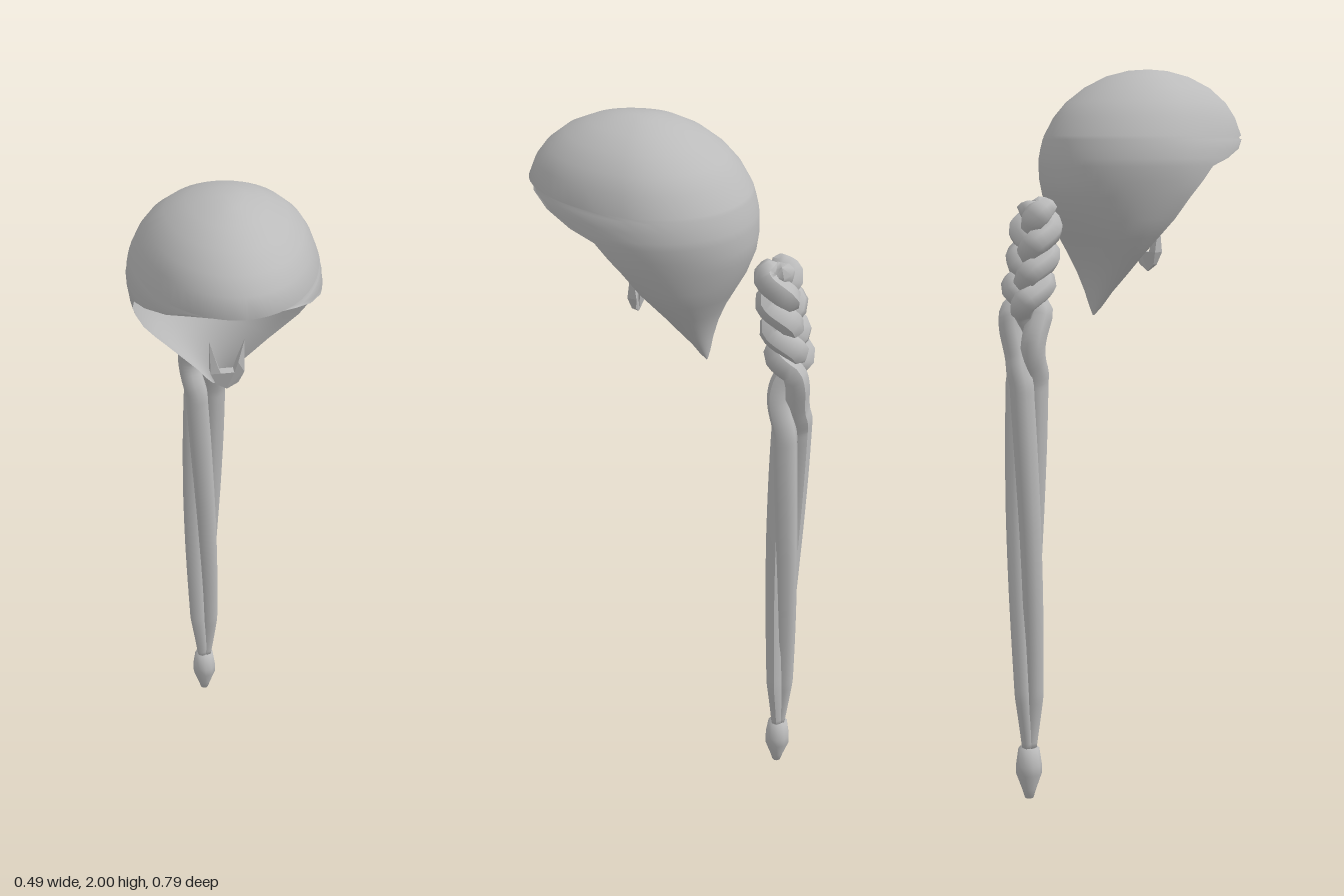
import * as THREE from 'three';
import { mergeVertices } from 'three/addons/utils/BufferGeometryUtils.js';

const { lerp, clamp } = THREE.MathUtils;

// Piecewise-linear lookup in a list of [key, value] with falling keys
function sample(table, y) {
  for (let i = 0; i < table.length - 1; i++) {
    const [y0, a] = table[i], [y1, b] = table[i + 1];
    if (y >= y1) return lerp(a, b, clamp((y0 - y) / (y0 - y1), 0, 1));
  }
  return table[table.length - 1][1];
}

// Open shell of horizontal slices: y, back z, middle z, front z, half width, reach (1 = closed round the front)
const capRows = [
  [2.0, 0.1, 0.1, 0.1, 0, 1],
  [1.996, 0.04, 0.085, 0.16, 0.045, 1],
  [1.98, -0.025, 0.08, 0.225, 0.1, 1],
  [1.95, -0.085, 0.07, 0.29, 0.152, 1],
  [1.91, -0.14, 0.06, 0.34, 0.193, 1],
  [1.87, -0.177, 0.05, 0.37, 0.217, 1],
  [1.82, -0.206, 0.04, 0.39, 0.236, 1],
  [1.81, -0.21, 0.04, 0.39, 0.239, 0.82],
  [1.785, -0.217, 0.04, 0.385, 0.244, 0.74],
  [1.76, -0.223, 0.04, 0.38, 0.247, 0.65],
  [1.74, -0.225, 0.04, 0.37, 0.246, 0.58],
  [1.7, -0.226, 0.045, 0.36, 0.24, 0.54],
  [1.66, -0.221, 0.05, 0.35, 0.229, 0.5],
  [1.6, -0.199, 0.015, 0.3, 0.204, 0.5],
  [1.55, -0.172, -0.015, 0.2, 0.172, 0.5],
  [1.5, -0.145, -0.038, 0.1, 0.133, 0.5],
  [1.45, -0.125, -0.055, 0, 0.092, 0.5],
  [1.4, -0.112, -0.075, 0, 0.052, 0.5],
  [1.36, -0.106, -0.088, 0, 0.024, 0.5],
  [1.335, -0.1, -0.099, 0, 0.004, 0.5],
];

function capGeometry() {
  const n = 56, pos = [], idx = [];
  capRows.forEach(([y, zb, zc, zf, w, reach], r) => {
    for (let u = 0; u <= n; u++) {
      const a = (u / n * 2 - 1) * reach * Math.PI;
      const c = Math.cos(a);
      pos.push(w * Math.sin(a), y, zc - c * (c > 0 ? zc - zb : zf - zc));
      if (r && u < n) {
        const d = r * (n + 1) + u, t = d - n - 1;
        idx.push(t, t + 1, d, t + 1, d + 1, d);
      }
    }
  });
  let g = new THREE.BufferGeometry();
  g.setAttribute('position', new THREE.Float32BufferAttribute(pos, 3));
  g.setIndex(idx);
  g = mergeVertices(g, 1e-4);
  g.computeVertexNormals();
  return g;
}

// Braid rules by height: crossing phase, middle depth, sway and strand thickness
const phase = [[1.65, 0], [1.36, 8.2], [1.17, 9.9], [0.6, 10.9], [0.14, 11.8]];
const depth = [[1.65, -0.287], [1.5, -0.308], [1.38, -0.333], [1.2, -0.337], [0.14, -0.336]];
const sway = [[1.65, 0.03], [1.55, 0.036], [1.2, 0.036], [0.8, 0.032], [0.3, 0.022], [0.14, 0.006]];
const thick = [[1.65, 0.02], [1.62, 0.036], [1.36, 0.034], [1.0, 0.033], [0.6, 0.029], [0.3, 0.025], [0.14, 0.016]];

function strandGeometry(k) {
  const pts = [], n = 130;
  for (let i = 0; i <= 75; i++) {
    const y = i < 40 ? lerp(1.65, 1.3, i / 40) : lerp(1.3, 0.14, (i - 40) / 35);
    const a = sample(phase, y) + k * Math.PI * 2 / 3, s = sample(sway, y);
    // A plait while tightly crossed, a loose twist further down
    const plait = clamp((y - 1.2) / 0.15, 0, 1);
    const zOff = lerp(Math.cos(a) * 0.75, Math.sin(2 * a) * 0.8, plait);
    pts.push(new THREE.Vector3(s * Math.sin(a), y, sample(depth, y) + s * zOff));
  }
  const curve = new THREE.CatmullRomCurve3(pts);
  const g = new THREE.TubeGeometry(curve, n, 1, 7, false);
  const p = g.attributes.position, v = new THREE.Vector3();
  for (let i = 0; i < p.count; i++) {
    const ring = Math.floor(i / 8), c = curve.getPointAt(ring / n);
    const r = ring === 0 || ring === n ? 0 : sample(thick, c.y);
    v.fromBufferAttribute(p, i).sub(c).multiplyScalar(r).add(c);
    p.setXYZ(i, v.x, v.y, v.z);
  }
  g.computeVertexNormals();
  return g;
}

// Forked chin tuft, thickest at mid height
function tuftGeometry() {
  const s = new THREE.Shape([
    [-0.046, 1.59], [-0.044, 1.5], [-0.03, 1.465], [0, 1.445], [0.03, 1.465], [0.044, 1.5],
    [0.046, 1.59], [0.028, 1.53], [0.018, 1.5], [-0.018, 1.5], [-0.028, 1.53],
  ].map(([x, y]) => new THREE.Vector2(x, y)));
  const g = new THREE.ExtrudeGeometry(s, { depth: 1, bevelEnabled: false });
  const p = g.attributes.position;
  for (let i = 0; i < p.count; i++) {
    const half = 0.001 + 0.015 * Math.max(0, 1 - Math.abs(p.getY(i) - 1.515) / 0.075);
    p.setZ(i, 0.1 + (p.getZ(i) * 2 - 1) * half);
  }
  g.computeVertexNormals();
  return g;
}

export function createModel() {
  const model = new THREE.Group();
  model.name = 'braidedHair';
  const hair = new THREE.MeshStandardMaterial({ color: 0xbbbbbb, side: THREE.DoubleSide });
  hair.name = 'hairGrey';
  const add = (name, geometry, parent = model) => {
    const mesh = new THREE.Mesh(geometry, hair);
    mesh.name = name;
    parent.add(mesh);
    return mesh;
  };

  add('hairCap', capGeometry());
  add('chinTuft', tuftGeometry());

  // Three interlaced strands
  const braid = new THREE.Group();
  braid.name = 'braid';
  model.add(braid);
  for (let k = 0; k < 3; k++) add('braidStrand' + (k + 1), strandGeometry(k), braid);

  // Bound end of the braid
  const profile = [[0, 0], [0.012, 0.004], [0.02, 0.03], [0.036, 0.075], [0.036, 0.1], [0.029, 0.148], [0, 0.15]];
  add('braidEnd', new THREE.LatheGeometry(profile.map(([x, y]) => new THREE.Vector2(x, y)), 10), braid)
    .position.z = -0.336;

  return model;
}
